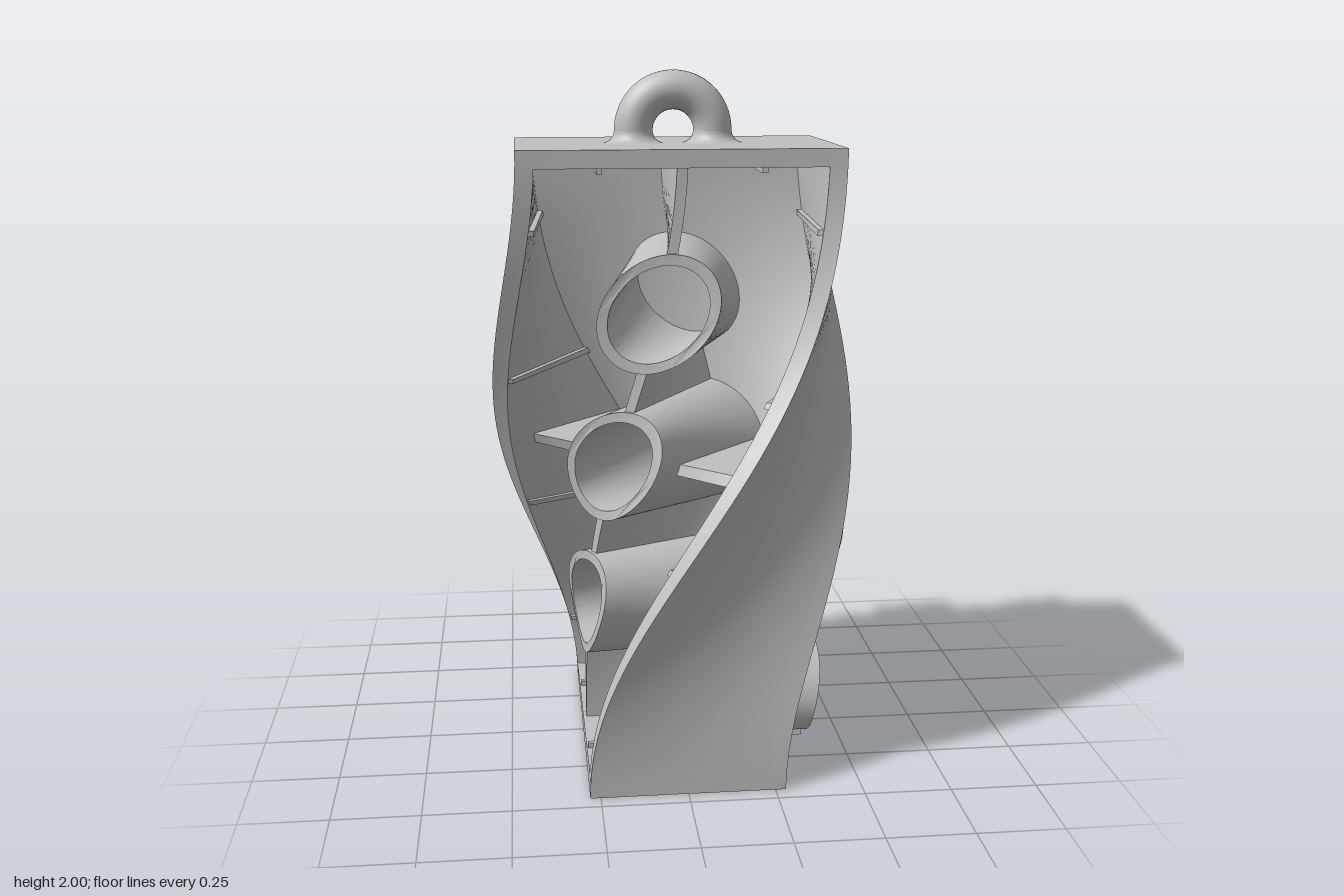
import * as THREE from 'three';
import { toCreasedNormals } from 'three/addons/utils/BufferGeometryUtils.js';

const H = 1.8, HW = 0.45, HD = 0.28, T = 0.05; // body height, half width, half depth, wall
const PITCH = 0.45, STUD = 0.085;

// Quarter turn about the vertical axis, eased so both ends run straight
function twist(geometry) {
  const p = geometry.attributes.position;
  for (let i = 0; i < p.count; i++) {
    const x = p.getX(i), y = p.getY(i), z = p.getZ(i);
    const a = (THREE.MathUtils.smoothstep(y, 0, H) - 1) * Math.PI / 2;
    p.setXYZ(i, x * Math.cos(a) + z * Math.sin(a), y, -x * Math.sin(a) + z * Math.cos(a));
  }
  return toCreasedNormals(geometry, 0.7);
}

// Box given by its limits, subdivided enough to bend
function box(x0, x1, y0, y1, z0, z1) {
  const ySegs = Math.max(1, Math.round((y1 - y0) / 0.04));
  const g = new THREE.BoxGeometry(x1 - x0, y1 - y0, z1 - z0, x1 - x0 > 0.2 ? 10 : 1, ySegs, z1 - z0 > 0.2 ? 8 : 1);
  return g.translate((x0 + x1) / 2, (y0 + y1) / 2, (z0 + z1) / 2);
}

export function createModel() {
  const model = new THREE.Group();
  const grey = new THREE.MeshStandardMaterial({ color: 0xc0c0c0 });
  grey.name = 'grey';

  function add(name, geometry, twisted = true) {
    const mesh = new THREE.Mesh(twisted ? twist(geometry) : geometry, grey);
    mesh.name = name;
    model.add(mesh);
  }

  // Hollow shell, open on one long face
  add('backPlate', box(-HW, HW, 0, H, -HD, -HD + T));
  add('leftWall', box(HW - T, HW, 0, H, -HD + T, HD));
  add('rightWall', box(-HW, -HW + T, 0, H, -HD + T, HD));
  add('bottomEnd', box(-HW + T, HW - T, 0, T, -HD + T, HD));
  add('topEnd', box(-HW + T, HW - T, H - T, H, -HD + T, HD));

  // Studs with a small key under each
  for (let row = 0; row < 4; row++) {
    const y = (row + 0.5) * PITCH;
    for (const x of [-PITCH / 2, PITCH / 2]) {
      const stud = new THREE.CylinderGeometry(0.137, 0.137, STUD + 0.02, 48, 4);
      stud.rotateX(-Math.PI / 2).translate(x, y, -HD - STUD / 2 + 0.01);
      add('stud', stud);
      add('studKey', box(x - 0.015, x + 0.015, y - 0.16, y - 0.125, -HD - STUD + 0.005, -HD + 0.02));
    }
    // Thin gripping ribs on the side walls
    for (const s of [-1, 1]) {
      const a = s * (HW - T + 0.005), b = s * (HW - T - 0.015);
      add('wallRib', box(Math.min(a, b), Math.max(a, b), y - 0.008, y + 0.008, -HD + T, HD - 0.004));
    }
  }

  // Gripping ribs on the end walls
  for (const x of [-PITCH / 2, PITCH / 2]) {
    add('endRib', box(x - 0.008, x + 0.008, T - 0.005, T + 0.015, -HD + T, HD - 0.004));
    add('endRib', box(x - 0.008, x + 0.008, H - T - 0.015, H - T + 0.005, -HD + T, HD - 0.004));
  }

  // Inner tubes
  const R = 0.168, ring = new THREE.Shape().absarc(0, 0, R, 0, Math.PI * 2);
  ring.holes.push(new THREE.Path().absarc(0, 0, 0.138, 0, Math.PI * 2, true));
  for (let i = 1; i < 4; i++) {
    const tube = new THREE.ExtrudeGeometry(ring, { depth: 2 * HD - T + 0.01, steps: 8, curveSegments: 48, bevelEnabled: false });
    add('innerTube', tube.translate(0, i * PITCH, -HD + T - 0.01));
  }

  // Centre webs between the tubes, and a cross web at the middle tube
  for (let i = 0; i < 4; i++) {
    const y0 = i === 0 ? T : i * PITCH + R - 0.01;
    const y1 = i === 3 ? H - T : (i + 1) * PITCH - R + 0.01;
    add('centreWeb', box(-0.015, 0.015, y0, y1, -HD + T, HD - 0.01));
  }
  add('crossWeb', box(R - 0.01, HW - T, H / 2 - 0.016, H / 2 + 0.016, -HD + T, 0.18));
  add('crossWeb', box(-HW + T, -R + 0.01, H / 2 - 0.016, H / 2 + 0.016, -HD + T, 0.18));

  // Hanging loop: an arch with flared feet
  const cy = 1.835, loopR = 0.113, wire = 0.055;
  const arch = new THREE.TorusGeometry(loopR, wire, 24, 48, Math.PI);
  add('loop', arch.translate(0, cy, 0), false);
  const foot = [];
  for (let i = 0; i <= 8; i++) {
    const t = i / 8 * Math.PI / 2;
    foot.push(new THREE.Vector2(wire + 0.035 * (1 - Math.sin(t)), H + 0.035 * (1 - Math.cos(t))));
  }
  for (const s of [-1, 1]) add('loopFoot', new THREE.LatheGeometry(foot, 32).translate(s * loopR, 0, 0), false);

  return model;
}
